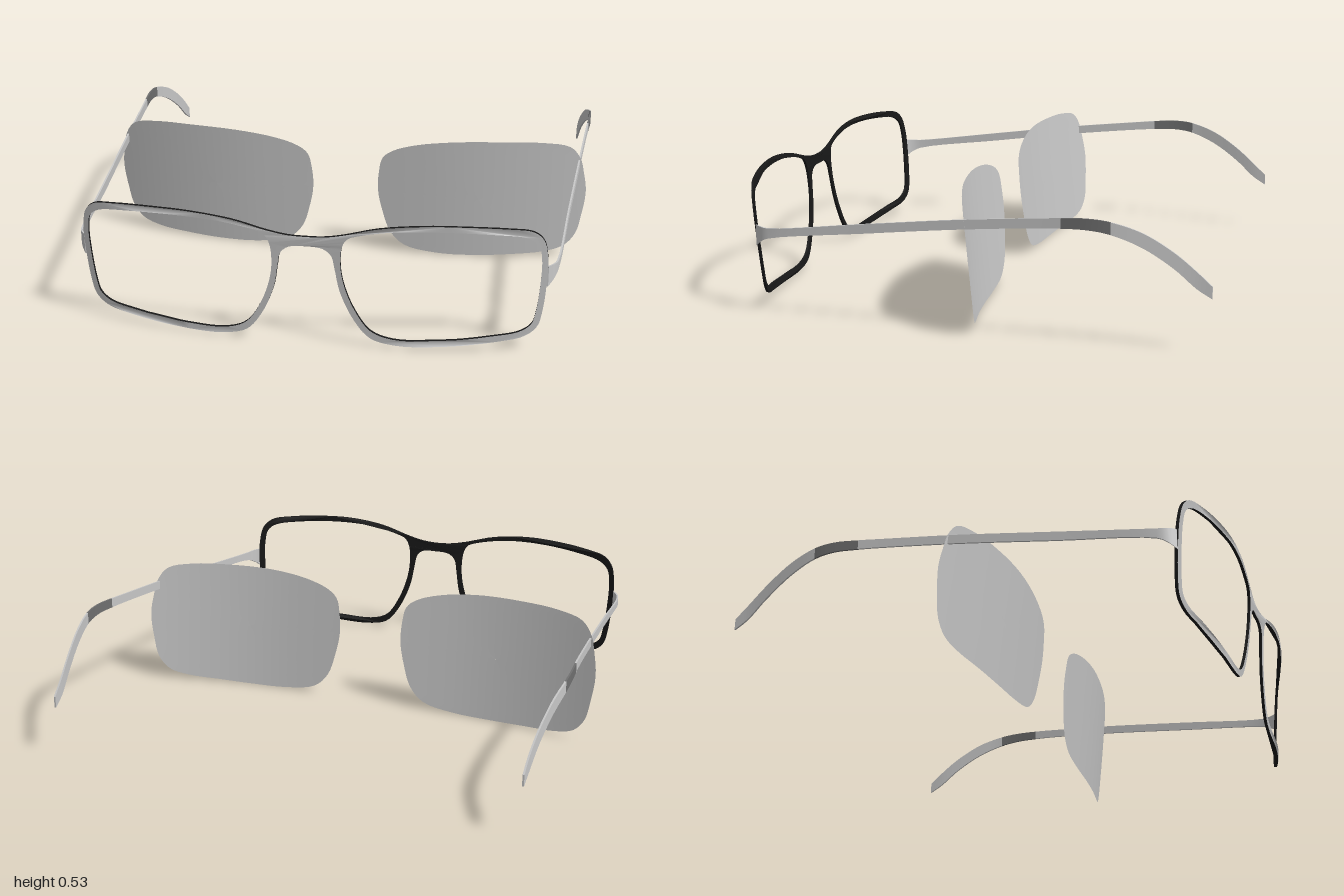
import * as THREE from 'three';
import { toCreasedNormals } from 'three/addons/utils/BufferGeometryUtils.js';

const material = (name, color, side = THREE.FrontSide) => {
  const m = new THREE.MeshStandardMaterial({ color, side });
  m.name = name;
  return m;
};
const v2 = (list) => list.map(([x, y]) => new THREE.Vector2(x, y));

// Smooth closed loop through a few points
const smoothLoop = (list, n) => {
  const c = new THREE.CatmullRomCurve3(list.map(([x, y]) => new THREE.Vector3(x, y, 0)), true);
  return c.getPoints(n).slice(0, n).map((p) => [p.x, p.y]);
};

// Moves every vertex with a rule
function deform(geometry, rule) {
  const p = geometry.attributes.position, v = new THREE.Vector3();
  for (let i = 0; i < p.count; i++) {
    v.fromBufferAttribute(p, i);
    rule(v, i);
    p.setXYZ(i, v.x, v.y, v.z);
  }
  geometry.computeVertexNormals();
  return geometry;
}

// Wraparound bend plus the forward lean of the top edge
const frameZ = (x, y) => {
  const d = Math.abs(x) - 0.3;
  return 0.934 - (d > 0 ? 0.295 : 0.08) * d * d + 0.095 * (y - 0.5);
};
const lensZ = (x, y) => {
  const d = x - 0.35;
  return 0.063 - (d > 0 ? 0.25 : 0.1) * d * d + 0.095 * (y - 0.5);
};

// Right half of the frame outline, from bridge top round to bridge underside
const FRAME_HALF = [
  [0, 0.452], [0.07, 0.456], [0.14, 0.47], [0.275, 0.507], [0.435, 0.526], [0.58, 0.526], [0.73, 0.516],
  [0.82, 0.5], [0.857, 0.465], [0.873, 0.4], [0.875, 0.32], [0.862, 0.16], [0.845, 0.1], [0.8, 0.063],
  [0.7, 0.043], [0.5, 0.022], [0.33, 0.018], [0.235, 0.042], [0.175, 0.115], [0.125, 0.23],
  [0.106, 0.33], [0.095, 0.38], [0.065, 0.407], [0, 0.413],
];
const OPENING = [
  [0.135, 0.42], [0.155, 0.455], [0.2, 0.473], [0.33, 0.498], [0.49, 0.505], [0.68, 0.495], [0.8, 0.476],
  [0.84, 0.445], [0.852, 0.39], [0.853, 0.32], [0.84, 0.17], [0.825, 0.115], [0.785, 0.085],
  [0.68, 0.067], [0.46, 0.045], [0.31, 0.045], [0.235, 0.075], [0.175, 0.165], [0.138, 0.27], [0.128, 0.35],
];
const LENS = [
  [0.138, 0.29], [0.157, 0.19], [0.19, 0.095], [0.25, 0.036], [0.38, 0.009], [0.54, 0.005], [0.7, 0.012],
  [0.84, 0.024], [0.92, 0.05], [0.965, 0.105], [0.985, 0.19], [0.998, 0.3], [0.985, 0.39], [0.968, 0.455],
  [0.925, 0.508], [0.82, 0.53], [0.66, 0.535], [0.46, 0.53], [0.3, 0.508], [0.2, 0.475], [0.158, 0.44], [0.143, 0.38],
];
// Temple stations: x, z, top y, bottom y
const TEMPLE = [
  [0.875, 0.815, 0.353, 0.272], [0.894, 0.79, 0.352, 0.292], [0.908, 0.75, 0.35, 0.311], [0.935, 0.37, 0.397, 0.361],
  [0.961, 0, 0.443, 0.407], [0.982, -0.3, 0.473, 0.437], [0.99, -0.4, 0.482, 0.444], [0.998, -0.5, 0.487, 0.446],
  [0.996, -0.58, 0.479, 0.434], [0.979, -0.69, 0.443, 0.39], [0.96, -0.8, 0.375, 0.317],
  [0.949, -0.88, 0.308, 0.247], [0.946, -0.935, 0.258, 0.213],
];

function frameShape() {
  const mirrored = FRAME_HALF.slice(1, -1).reverse().map(([x, y]) => [-x, y]);
  const shape = new THREE.Shape(v2(smoothLoop([...FRAME_HALF, ...mirrored], 230).reverse()));
  const hole = smoothLoop(OPENING, 110);
  for (const s of [1, -1]) shape.holes.push(new THREE.Path(v2(hole.map(([x, y]) => [s * x, y]))));
  return shape;
}

// Curved sheet filling the lens outline with concentric rings
function lensGeometry() {
  const segs = 88, loop = smoothLoop(LENS, segs);
  return deform(new THREE.RingGeometry(0.001, 1, segs, 10), (v, i) => {
    const r = Math.hypot(v.x, v.y), [x, y] = loop[(i % (segs + 1)) % segs];
    v.x = 0.56 + (x - 0.56) * r;
    v.y = 0.27 + (y - 0.27) * r;
    v.z = lensZ(v.x, v.y);
  });
}

// Thin bar following the temple stations between two indices
function templeGeometry(from, to) {
  const curve = (k) => new THREE.CatmullRomCurve3(TEMPLE.map((s) => new THREE.Vector3(s[0], s[k], s[1])));
  const top = curve(2), bottom = curve(3), last = TEMPLE.length - 1;
  const g = deform(new THREE.BoxGeometry(1, 1, 1, 1, 1, (to - from) * 5), (v) => {
    const t = (from + (0.5 - v.z) * (to - from)) / last;
    const p = (v.y > 0 ? top : bottom).getPoint(Math.min(1, Math.max(0, t)));
    v.set(p.x + v.x * 0.007, p.y, p.z);
  });
  return toCreasedNormals(g, 0.6);
}

export function createModel() {
  const metal = material('frameGrey', 0xc4c4c4);
  const dark = material('frameBlack', 0x181818);
  const grip = material('gripGrey', 0x707070);
  const temple = material('templeGrey', 0xc8c8c8);
  const lensGrey = material('lensGrey', 0xc8c8c8, THREE.DoubleSide);

  const model = new THREE.Group();
  model.name = 'glasses';
  const add = (parent, name, geometry, mat) => {
    const mesh = new THREE.Mesh(geometry, mat);
    mesh.name = name;
    parent.add(mesh);
  };

  // Dark frame body with a grey front face
  const shape = frameShape(), depth = 0.01;
  const body = new THREE.ExtrudeGeometry(shape, { depth, bevelEnabled: false, steps: 1 });
  deform(body, (v) => { v.z += frameZ(v.x, v.y) - depth - 0.002; });
  add(model, 'frameBody', toCreasedNormals(body, 0.7), dark);
  const face = deform(new THREE.ShapeGeometry(shape), (v) => { v.z = frameZ(v.x, v.y); });
  add(model, 'frameFront', face, metal);

  // Lens and temple on each side
  for (const s of [1, -1]) {
    const side = new THREE.Group();
    side.name = s > 0 ? 'leftSide' : 'rightSide';
    side.scale.x = s;
    add(side, 'lens', lensGeometry(), lensGrey);
    add(side, 'templeArm', templeGeometry(0, 6), temple);
    add(side, 'templeGrip', templeGeometry(6, 8), grip);
    add(side, 'templeTip', templeGeometry(8, 12), temple);
    model.add(side);
  }
  return model;
}
